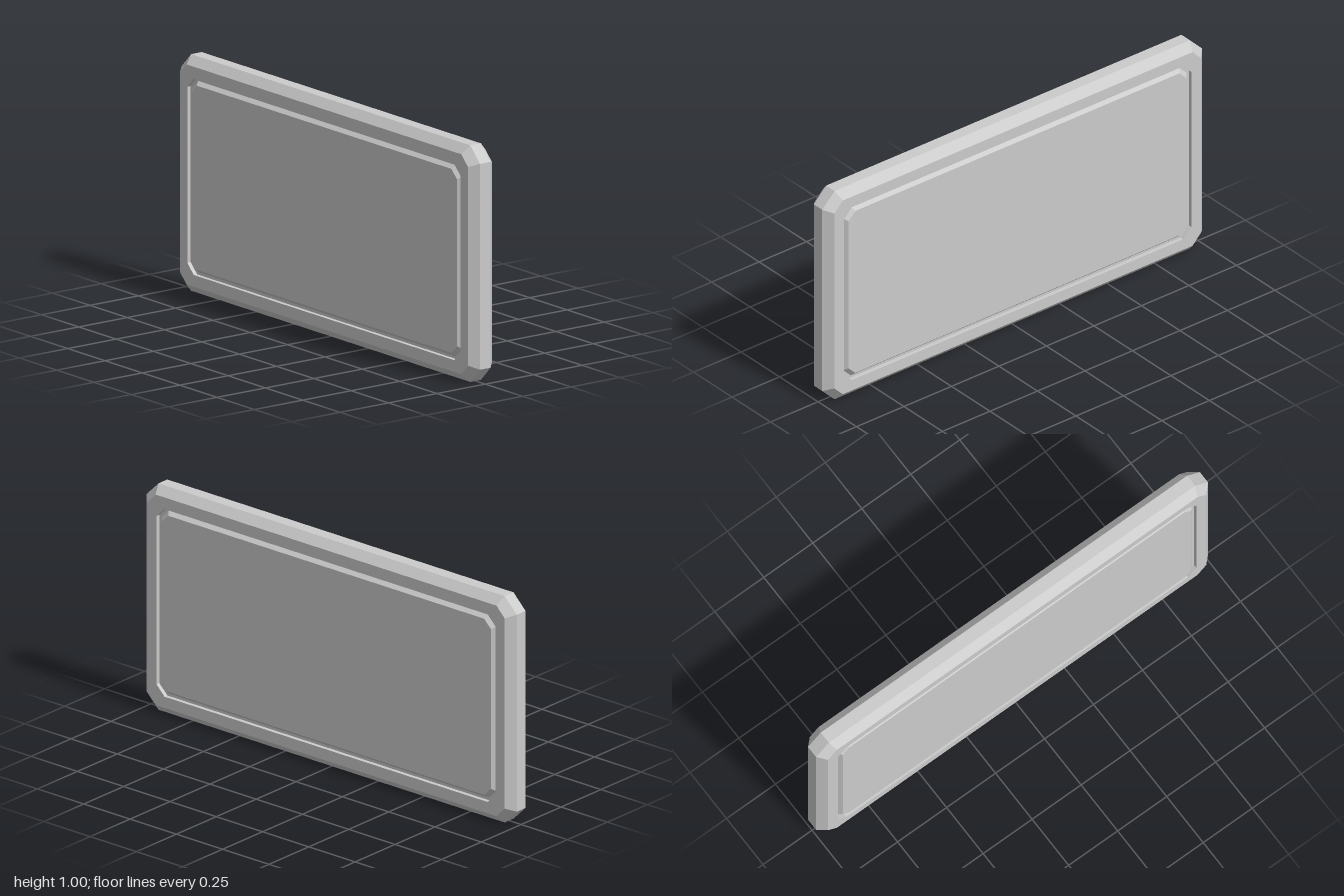
import * as THREE from 'three';

// Rectangle with cut corners, counter-clockwise seen from the front
function ring([inset, z, cut]) {
  const w = 1 - inset, b = inset, t = 1 - inset;
  return [
    [w - cut, b], [w, b + cut], [w, t - cut], [w - cut, t],
    [-w + cut, t], [-w, t - cut], [-w, b + cut], [-w + cut, b],
  ].map(([x, y]) => new THREE.Vector3(x, y, z));
}

// Skin a front-to-back list of [inset, z, corner cut] rings; optionally cap both ends
function loft(profile, capped) {
  const rings = profile.map(ring), pos = [];
  const tri = (a, b, c) => pos.push(...a.toArray(), ...b.toArray(), ...c.toArray());
  for (let i = 0; i < rings.length - 1; i++) {
    const f = rings[i], k = rings[i + 1];
    for (let j = 0; j < 8; j++) {
      const n = (j + 1) % 8;
      tri(f[j], k[j], k[n]);
      tri(f[j], k[n], f[n]);
    }
  }
  if (capped) {
    const f = rings[0], k = rings[rings.length - 1];
    for (let j = 1; j < 7; j++) {
      tri(f[0], f[j], f[j + 1]);
      tri(k[0], k[j + 1], k[j]);
    }
  }
  const g = new THREE.BufferGeometry();
  g.setAttribute('position', new THREE.Float32BufferAttribute(pos, 3));
  g.computeVertexNormals();
  return g;
}

// Front half of a profile followed by its mirror image on the back
const mirrored = (half) => [...half, ...half.map(([i, z, c]) => [i, -z, c]).reverse()];

export function createModel() {
  const group = new THREE.Group();
  const material = new THREE.MeshStandardMaterial({ color: 0xcccccc, flatShading: true });
  const add = (name, geometry) => {
    const mesh = new THREE.Mesh(geometry, material);
    mesh.name = name;
    group.add(mesh);
  };

  // Bevelled border: groove wall, flat face, outer bevel, rim
  add('frame', loft(mirrored([
    [0.085, 0.043, 0.043],
    [0.085, 0.0625, 0.043],
    [0.035, 0.0625, 0.045],
    [0, 0.0275, 0.065],
  ]), false));

  // Raised panel on both sides: flat face, bevel, groove floor
  add('panel', loft(mirrored([
    [0.111, 0.0615, 0.036],
    [0.096, 0.045, 0.04],
    [0.085, 0.045, 0.043],
  ]), true));

  return group;
}
